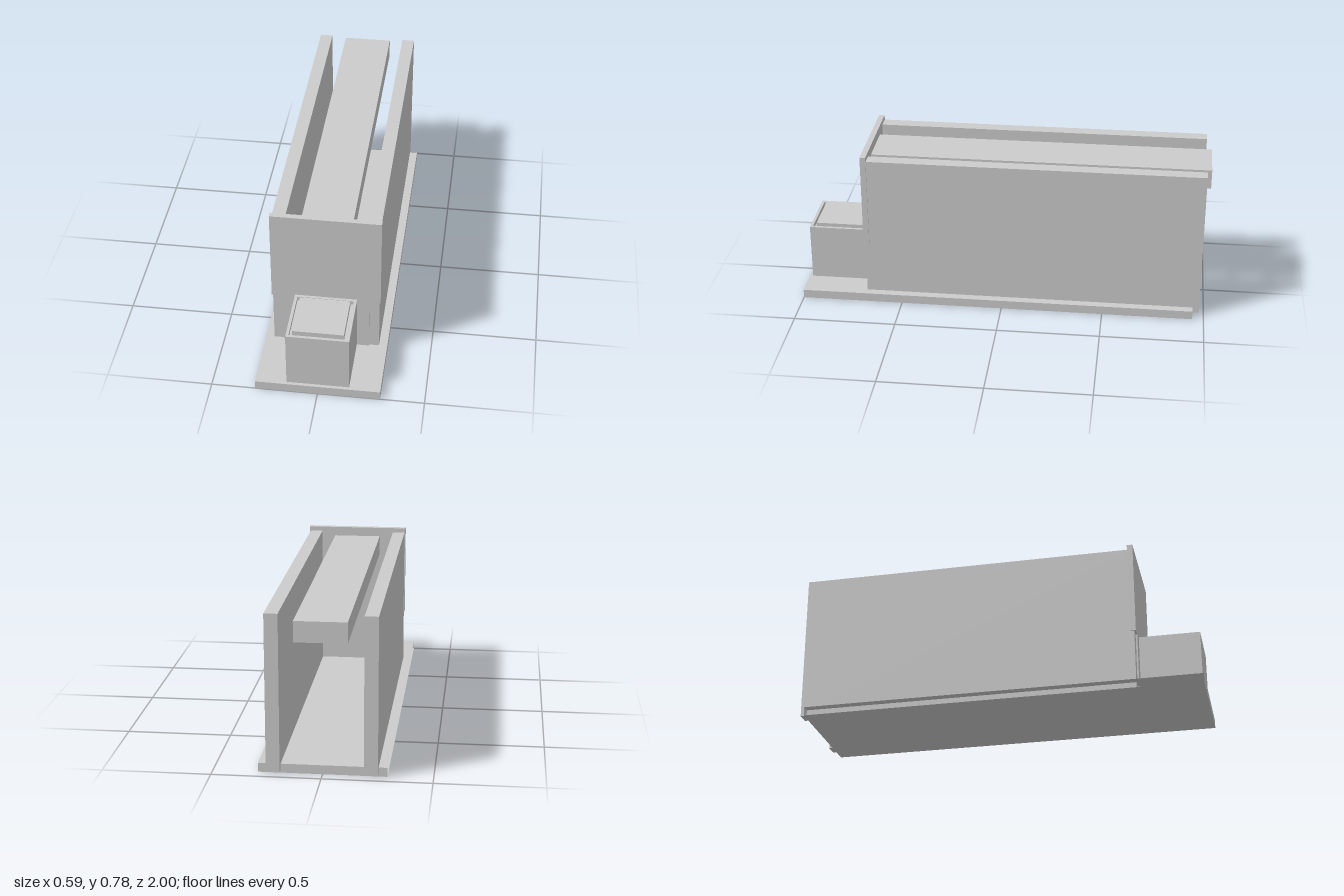
import * as THREE from 'three';

const grey = new THREE.MeshStandardMaterial({ color: 0xcccccc, flatShading: true });
const open = new THREE.MeshStandardMaterial({ color: 0xcccccc, flatShading: true, side: THREE.DoubleSide });

// Box given by its extents along each axis
function box(name, [x0, x1], [y0, y1], [z0, z1]) {
  const geometry = new THREE.BoxGeometry(x1 - x0, y1 - y0, z1 - z0);
  geometry.translate((x0 + x1) / 2, (y0 + y1) / 2, (z0 + z1) / 2);
  const mesh = new THREE.Mesh(geometry, grey);
  mesh.name = name;
  return mesh;
}

function extrude(name, shape, depth) {
  const mesh = new THREE.Mesh(new THREE.ExtrudeGeometry(shape, { depth, bevelEnabled: false }), grey);
  mesh.name = name;
  return mesh;
}

const points = (list) => list.map(([x, y]) => new THREE.Vector2(x, y));
const rectangle = (x, y) => points([[-x, -y], [x, -y], [x, y], [-x, y]]);

export function createModel() {
  const model = new THREE.Group();
  model.name = 'channelAssembly';

  // Base plate, hollow and open along its right edge
  const base = box('basePlate', [-0.293, 0.293], [0, 0.043], [-0.945, 1]);
  const index = Array.from(base.geometry.index.array);
  index.splice(6, 6);
  base.geometry.setIndex(index);
  base.geometry.clearGroups();
  base.material = open;
  model.add(base);

  // Two long side walls, passing through the base and out at the back
  model.add(box('leftWall', [0.19, 0.253], [0.015, 0.754], [-0.976, 0.68]));
  model.add(box('rightWall', [-0.253, -0.19], [0.015, 0.754], [-0.976, 0.68]));

  // Beam between the walls
  model.add(box('centreBeam', [-0.12, 0.12], [0.634, 0.731], [-1, 0.67]));

  // Front panel, narrower in its lower part
  const panelShape = new THREE.Shape(points([
    [-0.205, 0.04], [0.205, 0.04], [0.205, 0.313], [0.258, 0.313],
    [0.258, 0.777], [-0.258, 0.777], [-0.258, 0.313], [-0.205, 0.313],
  ]));
  const panel = extrude('frontPanel', panelShape, 0.028);
  panel.position.z = 0.66;
  model.add(panel);

  // Front block: body, raised rim and a lid set inside the rim
  const block = new THREE.Group();
  block.name = 'frontBlock';
  block.add(box('blockBody', [-0.147, 0.147], [0.04, 0.305], [0.688, 0.984]));
  const rimShape = new THREE.Shape(rectangle(0.147, 0.148));
  rimShape.holes.push(new THREE.Path(rectangle(0.133, 0.134).reverse()));
  const rim = extrude('blockRim', rimShape, 0.02);
  rim.rotation.x = -Math.PI / 2;
  rim.position.set(0, 0.305, 0.836);
  block.add(rim);
  block.add(box('blockLid', [-0.119, 0.119], [0.3, 0.336], [0.717, 0.955]));
  model.add(block);

  return model;
}
